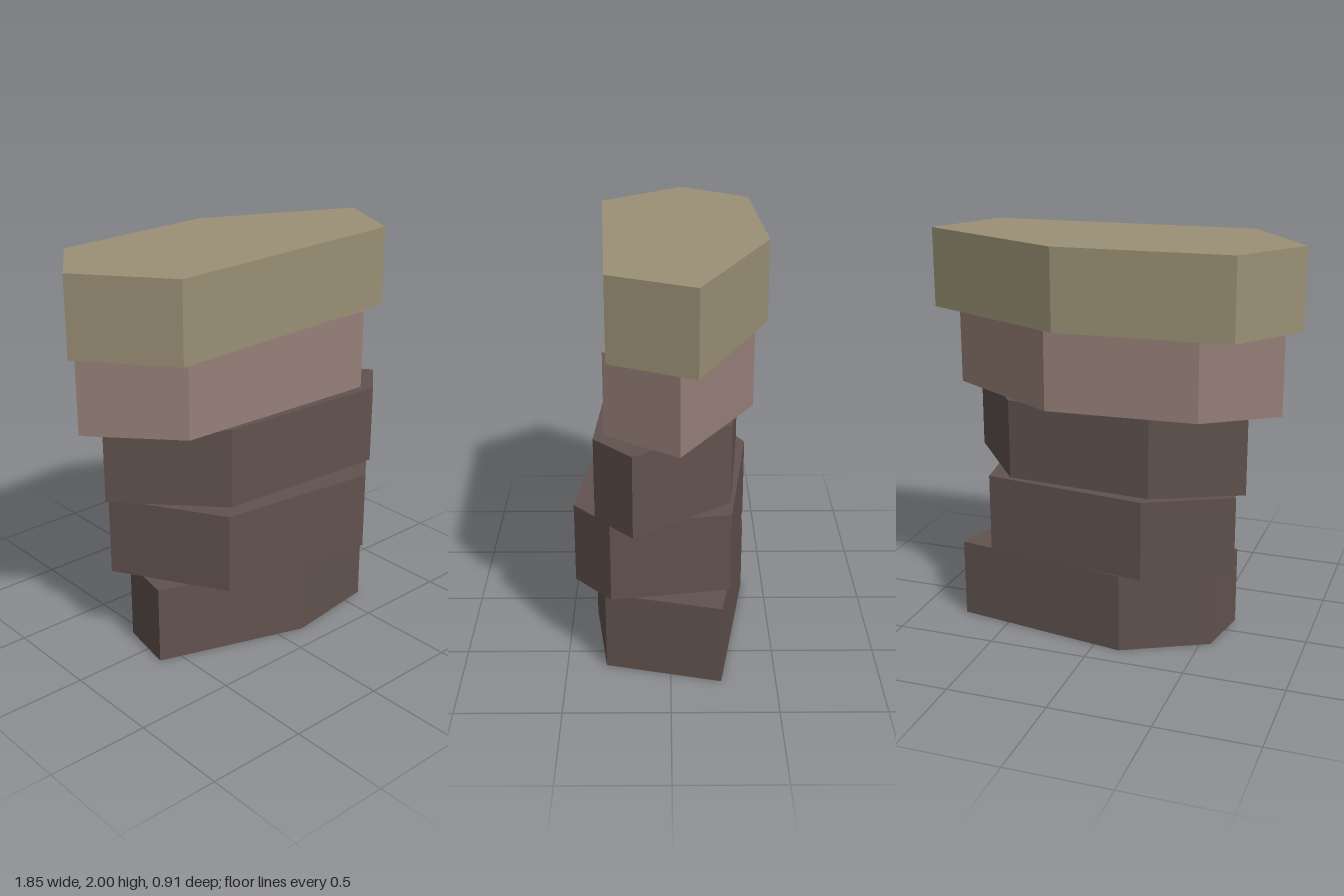
import * as THREE from 'three';

export function createModel() {
  const model = new THREE.Group();
  model.name = 'stackedRocks';

  const material = (name, color) => {
    const m = new THREE.MeshStandardMaterial({ color });
    m.name = name;
    return m;
  };
  const darkStone = material('darkStone', 0x61524e);
  const rosyStone = material('rosyStone', 0x978078);
  const oliveStone = material('oliveStone', 0x9a9075);

  // Flat six-sided slab: outline as [x, z] corners, extruded from y0 to y1
  const addSlab = (name, mat, y0, y1, outline) => {
    const shape = new THREE.Shape(outline.map(([x, z]) => new THREE.Vector2(x, -z)));
    const geometry = new THREE.ExtrudeGeometry(shape, { depth: y1 - y0, bevelEnabled: false });
    geometry.rotateX(-Math.PI / 2);
    const slab = new THREE.Mesh(geometry, mat);
    slab.name = name;
    slab.position.y = y0;
    model.add(slab);
  };

  // Three dark slabs form the column
  addSlab('baseSlab', darkStone, 0, 0.4,
    [[-0.605, 0.123], [0.13, 0.375], [0.62, 0.31], [0.757, -0.24], [-0.137, -0.385], [-0.55, -0.173]]);
  addSlab('lowerSlab', darkStone, 0.4, 0.8,
    [[-0.66, -0.18], [-0.35, 0.355], [0.475, 0.457], [0.67, 0.28], [0.58, -0.285], [-0.25, -0.393]]);
  addSlab('middleSlab', darkStone, 0.806, 1.206,
    [[-0.7, -0.15], [-0.28, 0.295], [0.62, 0.35], [0.815, 0.17], [0.465, -0.285], [-0.272, -0.35]]);

  // Wider, lighter slabs on top
  addSlab('upperSlab', rosyStone, 1.206, 1.605,
    [[-0.853, -0.12], [-0.505, 0.26], [0.58, 0.302], [0.825, -0.04], [0.23, -0.395], [-0.51, -0.355]]);
  addSlab('capSlab', oliveStone, 1.605, 2,
    [[-0.925, -0.065], [-0.6, 0.345], [0.733, 0.28], [0.922, -0.115], [0.165, -0.458], [-0.685, -0.41]]);

  return model;
}
